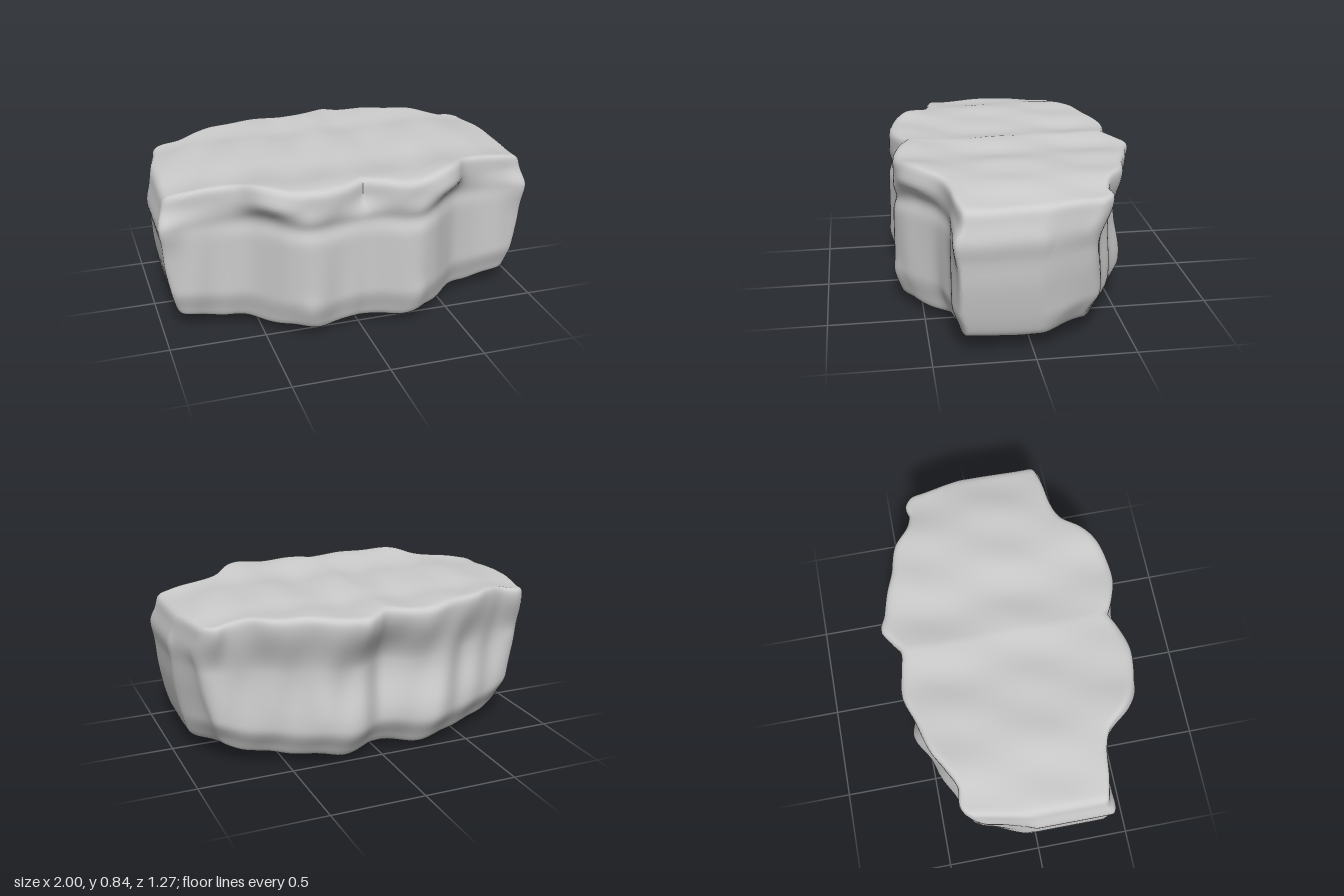
import * as THREE from 'three';
import { mergeVertices, toCreasedNormals } from 'three/addons/utils/BufferGeometryUtils.js';

// Smooth function through [position, value] points
function profile(points) {
  const slope = (i) => {
    const a = points[Math.max(i - 1, 0)], b = points[Math.min(i + 1, points.length - 1)];
    return (b[1] - a[1]) / (b[0] - a[0]);
  };
  return (x) => {
    const last = points.length - 1;
    if (x <= points[0][0]) return points[0][1];
    if (x >= points[last][0]) return points[last][1];
    let i = 0;
    while (x > points[i + 1][0]) i++;
    const [x0, y0] = points[i], [x1, y1] = points[i + 1];
    const h = x1 - x0, t = (x - x0) / h, t2 = t * t, t3 = t2 * t;
    return y0 * (2 * t3 - 3 * t2 + 1) + slope(i) * h * (t3 - 2 * t2 + t)
      + y1 * (3 * t2 - 2 * t3) + slope(i + 1) * h * (t3 - t2);
  };
}

const { lerp, smoothstep, clamp } = THREE.MathUtils;
const bump = (x, centre, width) => Math.exp(-(((x - centre) / width) ** 2));

// Front outline at the rim (over |x|) and lower down the face
const frontRim = profile([[0, 0.55], [0.08, 0.59], [0.2, 0.625], [0.32, 0.615], [0.43, 0.58],
  [0.52, 0.52], [0.6, 0.43], [0.7, 0.39], [0.85, 0.37], [0.97, 0.34]]);
const frontBody = profile([[0, 0.595], [0.15, 0.61], [0.29, 0.635], [0.38, 0.59], [0.47, 0.51],
  [0.57, 0.43], [0.7, 0.39], [0.85, 0.385], [0.97, 0.365]]);

// Back outline at the rim, in the hollow middle, and at the foot
const backRim = profile([[-0.98, -0.2], [-0.92, -0.33], [-0.85, -0.39], [-0.75, -0.385], [-0.65, -0.43],
  [-0.55, -0.49], [-0.4, -0.53], [-0.25, -0.58], [-0.1, -0.565], [0, -0.55], [0.07, -0.595], [0.14, -0.635],
  [0.22, -0.605], [0.35, -0.57], [0.45, -0.53], [0.6, -0.49], [0.7, -0.41], [0.78, -0.385],
  [0.85, -0.395], [0.92, -0.33], [0.98, -0.2]]);
const backMiddle = profile([[-0.98, -0.2], [-0.9, -0.31], [-0.8, -0.33], [-0.65, -0.38], [-0.5, -0.44],
  [-0.3, -0.52], [-0.15, -0.48], [0, -0.45], [0.15, -0.52], [0.35, -0.51], [0.5, -0.45],
  [0.65, -0.39], [0.8, -0.33], [0.9, -0.31], [0.98, -0.2]]);
const backFoot = profile([[-0.98, -0.18], [-0.9, -0.29], [-0.75, -0.37], [-0.6, -0.44], [-0.45, -0.5],
  [-0.27, -0.575], [-0.12, -0.52], [0, -0.5], [0.14, -0.56], [0.28, -0.575], [0.45, -0.5],
  [0.6, -0.43], [0.75, -0.37], [0.9, -0.29], [0.98, -0.18]]);

// Half width by height; top and bottom height by |x|
const halfWidth = profile([[0, 0.91], [0.08, 0.93], [0.2, 0.95], [0.42, 0.975], [0.62, 0.985],
  [0.77, 0.998], [0.9, 0.975], [1, 0.96]]);
const topHeight = profile([[0, 0.825], [0.2, 0.81], [0.45, 0.825], [0.65, 0.82], [0.85, 0.795], [1, 0.772]]);
const bottomHeight = profile([[0, 0.018], [0.2, 0.005], [0.4, 0.028], [0.6, 0.045], [0.75, 0.062], [0.92, 0.085], [1, 0.1]]);

function frontZ(x, v) {
  const a = Math.abs(x);
  let z = lerp(frontBody(a), frontRim(a), smoothstep(v, 0.76, 0.9));
  z += 0.025 * bump(a, 0.47, 0.12) * bump(v, 0.87, 0.08); // rounded lip
  z -= 0.02 * bump(v, 0.73, 0.06) * bump(a, 0.3, 0.4); // crease under the lip
  z += 0.025 * bump(a, 0.97, 0.08) * bump(v, 0.75, 0.15);
  z += 0.012 * bump(a, 0.3, 0.06) * bump(v, 0.12, 0.1); // columns at the foot
  z -= 0.05 * (1 - smoothstep(v, 0, 0.4)) * smoothstep(a, 1.1, 0.3);
  return z - 0.04 * (1 - smoothstep(v, 0, 0.22)) + 0.005 * Math.sin(a * 31 + v * 3) * (1 - v);
}

function backZ(x, v) {
  let z = lerp(backFoot(x), backMiddle(x), smoothstep(v, 0.22, 0.58));
  z = lerp(z, backRim(x), smoothstep(v, 0.6, 0.95));
  z += 0.07 * (1 - smoothstep(v, 0, 0.2));
  return z + 0.009 * Math.sin(x * 27 + 4 * v) * Math.sin(Math.PI * v);
}

// Evenly gridded block with rounded edges, bent to the outlines above
function rockGeometry() {
  const size = new THREE.Vector3(2, 0.8, 1.1), radius = 0.035;
  let geometry = new THREE.BoxGeometry(size.x, size.y, size.z, 100, 40, 54);
  geometry.deleteAttribute('normal');
  geometry.deleteAttribute('uv');
  geometry = mergeVertices(geometry);
  const pos = geometry.attributes.position;
  const p = new THREE.Vector3(), core = new THREE.Vector3();
  const limit = size.clone().multiplyScalar(0.5).subScalar(radius);
  for (let i = 0; i < pos.count; i++) {
    p.fromBufferAttribute(pos, i);
    core.copy(p).clamp(limit.clone().negate(), limit);
    p.sub(core).setLength(radius).add(core);

    const u = p.x, v = clamp(p.y / size.y + 0.5, 0, 1), w = (2 * p.z) / size.z;
    const rear = smoothstep(-w, 0.35, 1);
    const x = u * (halfWidth(v) - 0.05 * rear - 0.05 * rear * (1 - v));
    const z = lerp(backZ(x, v), frontZ(x, v), (w + 1) / 2);

    // Gently uneven top, shallow keel underneath
    const a = Math.abs(x);
    const top = topHeight(a) + 0.012 * bump(z, 0.53, 0.12) - 0.012 * bump(z, 0.25, 0.15)
      + 0.006 * Math.sin(x * 19 + z * 4) * Math.sin(z * 7 + 1) - 0.01 * bump(z, -0.3, 0.12);
    const bottom = bottomHeight(a) + 0.12 * z * z * (1 - 0.5 * a)
      + 0.006 * (1 + Math.sin(a * 24)) * Math.abs(w)
      + 0.05 * rear * smoothstep(a, 0.6, 0.95);
    pos.setXYZ(i, x, lerp(bottom, top, v), z);
  }
  return toCreasedNormals(geometry, 0.9);
}

export function createModel() {
  const model = new THREE.Group();
  model.name = 'rockSlab';
  const rock = new THREE.Mesh(rockGeometry(), new THREE.MeshStandardMaterial({ color: 0xcccccc }));
  rock.name = 'rock';
  rock.geometry.computeBoundingBox();
  rock.position.y = -rock.geometry.boundingBox.min.y;
  model.add(rock);
  return model;
}
